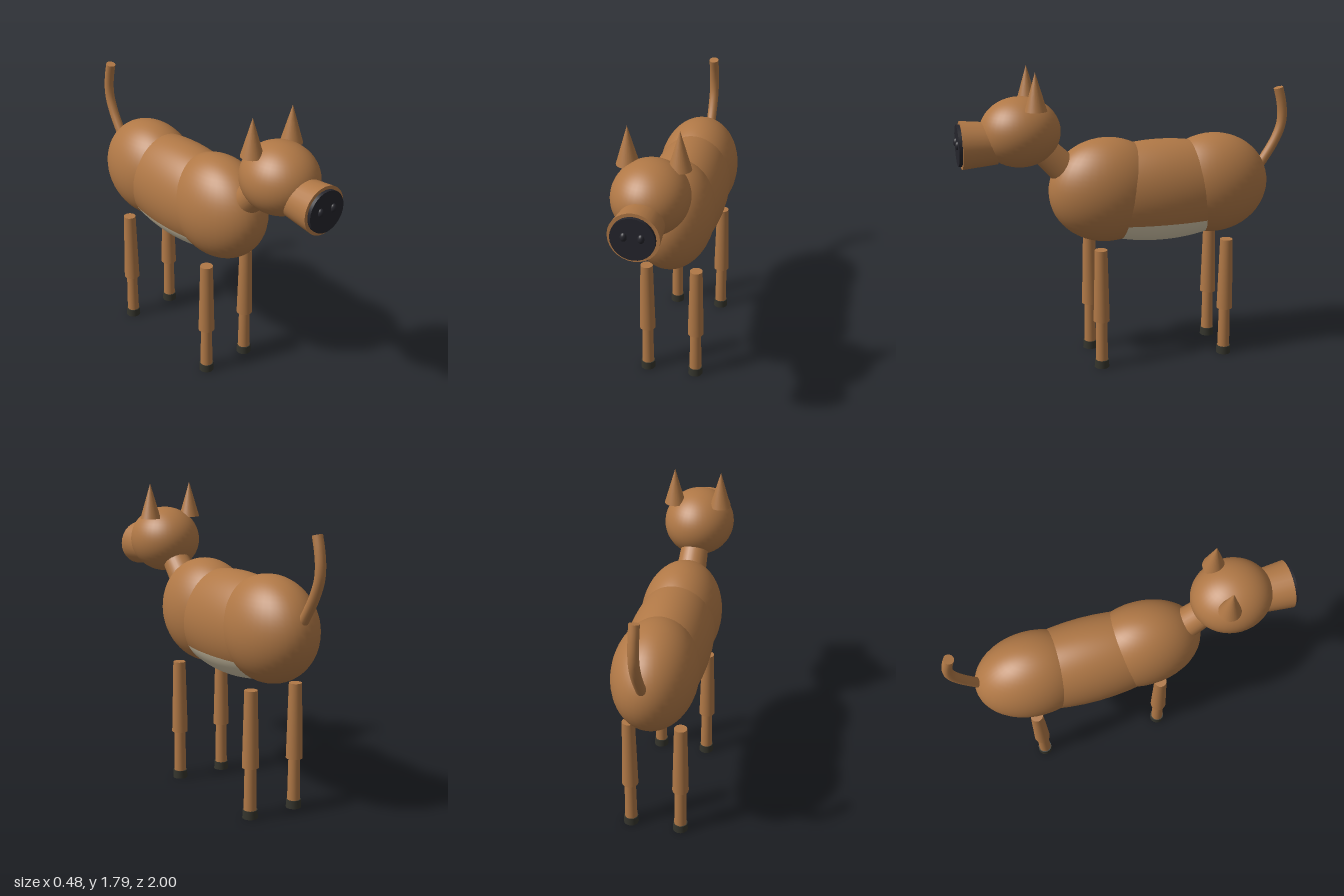
import * as THREE from 'three';

export function createModel() {
  const model = new THREE.Group();
  const mat = (name, color) => Object.assign(new THREE.MeshStandardMaterial({ color }), { name });
  const coat = mat('brown coat', 0xb07846);
  const cream = mat('cream belly', 0xd6c9ac);
  const black = mat('black nose', 0x25252c);
  const horn = mat('dark hoof', 0x34342c);

  const add = (name, geometry, material, position, parent = model) => {
    const mesh = new THREE.Mesh(geometry, material);
    mesh.name = name;
    mesh.position.set(...position);
    parent.add(mesh);
    return mesh;
  };
  // Ellipsoid, or a horizontal slice of one between two polar angles
  const ellipsoid = (rx, ry, rz, start = 0, length = Math.PI) =>
    new THREE.SphereGeometry(1, 40, 28, 0, Math.PI * 2, start, length).scale(rx, ry, rz);
  const cylinder = (top, bottom, height) => new THREE.CylinderGeometry(top, bottom, height, 28);

  // Torso: chest, barrel with a pale underside, and hindquarters
  const bellyEdge = 2.135;
  const barrelAt = [0, 1.033, -0.2];
  add('chest', ellipsoid(0.235, 0.31, 0.345), coat, [0, 1.057, 0.125]);
  add('barrel', ellipsoid(0.238, 0.305, 0.62, 0, bellyEdge), coat, barrelAt);
  add('belly', ellipsoid(0.238, 0.305, 0.62, bellyEdge, Math.PI - bellyEdge), cream, barrelAt);
  add('hindquarters', ellipsoid(0.238, 0.302, 0.34), coat, [0, 1.055, -0.53]);

  // Neck leans forward into the head
  add('neck', cylinder(0.078, 0.092, 0.3), coat, [0, 1.265, 0.445]).rotation.x = Math.PI / 4;

  // Head with a snout that widens towards the nose
  const head = new THREE.Group();
  head.name = 'head';
  model.add(head);
  add('skull', ellipsoid(0.21, 0.2, 0.23), coat, [0, 1.43, 0.628], head);
  add('snout', cylinder(0.137, 0.118, 0.2), coat, [0, 1.372, 0.865], head).rotation.x = Math.PI / 2;
  add('nose', cylinder(0.118, 0.118, 0.025), black, [0, 1.372, 0.972], head).rotation.x = Math.PI / 2;
  for (const side of [-1, 1]) {
    add('nostril', ellipsoid(0.018, 0.025, 0.018), black, [side * 0.045, 1.382, 0.982], head);
    add('ear', new THREE.ConeGeometry(0.063, 0.215, 28), coat, [side * 0.139, 1.678, 0.56], head);
  }

  // Four stepped legs with hooves
  for (const z of [0.2, -0.575]) {
    for (const x of [-0.15, 0.15]) {
      const leg = new THREE.Group();
      leg.name = z > 0 ? 'frontLeg' : 'hindLeg';
      leg.position.set(x, 0, z);
      model.add(leg);
      add('upperLeg', cylinder(0.037, 0.048, 0.44), coat, [0, 0.517, 0], leg);
      add('lowerLeg', cylinder(0.033, 0.037, 0.26), coat, [0, 0.17, 0], leg);
      add('hoof', cylinder(0.042, 0.044, 0.048), horn, [0, 0.024, 0], leg);
    }
  }

  // Tail sweeps back and curls upward, closed by a flat tip
  const tailPath = new THREE.CatmullRomCurve3([
    [1.1, -0.8], [1.17, -0.852], [1.29, -0.927], [1.38, -0.963], [1.45, -0.97], [1.53, -0.96], [1.61, -0.939],
  ].map(([y, z]) => new THREE.Vector3(0, y, z)));
  add('tail', new THREE.TubeGeometry(tailPath, 40, 0.029, 16), coat, [0, 0, 0]);
  const tip = add('tailTip', new THREE.CircleGeometry(0.029, 16), coat, tailPath.getPoint(1).toArray());
  tip.quaternion.setFromUnitVectors(new THREE.Vector3(0, 0, 1), tailPath.getTangent(1));

  return model;
}
